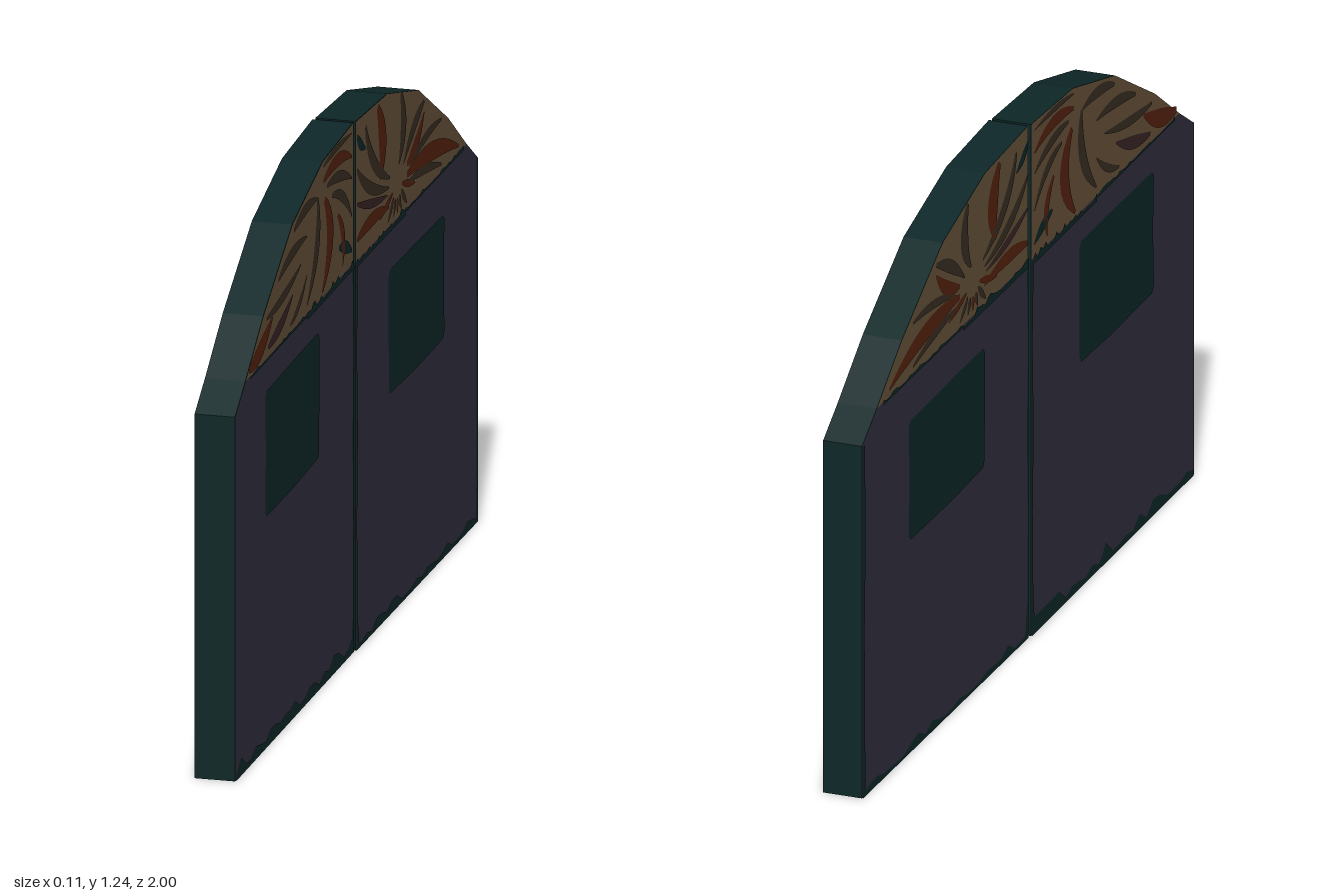
import * as THREE from 'three';

const mat = (name, color, extra = {}) => {
  const m = new THREE.MeshStandardMaterial({ color, ...extra });
  m.name = name;
  return m;
};

export function createModel() {
  const teal = mat('dark teal', 0x0e2728);
  const slate = mat('slate purple', 0x312f3e);
  const tan = mat('tan', 0x68533a);
  const red = mat('rust red', 0x58220f);
  const brown = mat('dark brown', 0x392f24);
  const plum = mat('plum', 0x3a2426);

  const DEPTH = 0.093, STEP = 0.0012, BAND = 0.907;
  let seed = 7;
  const rand = () => (seed = (seed * 16807) % 2147483647) / 2147483647;

  // Arched outline of a leaf, from the middle to the outer edge, as [distance, height]
  const arch = [[0.005, 1.235], [0.262, 1.222], [0.517, 1.153], [0.762, 1.013], [0.912, BAND], [1, 0.85]];
  const outline = [[0.005, 0], ...arch, [1, 0]];
  const panel = [[0.005, 0], [0.005, BAND], [0.912, BAND], [1, 0.85], [1, 0]];
  const band = [...arch.slice(0, 5), [0.005, BAND]];

  // Shape on a face that looks along x (side is 1 or -1)
  const toShape = (pts, side) => new THREE.Shape(pts.map(([z, y]) => new THREE.Vector2(-side * z, y)));

  // Tapered, curved brush stroke
  function stroke([z0, y0], [zc, yc], [z1, y1], width) {
    const curve = new THREE.QuadraticBezierCurve(
      new THREE.Vector2(z0, y0), new THREE.Vector2(zc, yc), new THREE.Vector2(z1, y1));
    const a = [], b = [];
    for (let i = 0; i <= 10; i++) {
      const t = i / 10, p = curve.getPoint(t), d = curve.getTangent(t);
      const w = 0.5 * width * Math.sin(Math.PI * (0.1 + 0.85 * t));
      a.push([p.x - d.y * w, p.y + d.x * w]);
      b.unshift([p.x + d.y * w, p.y - d.x * w]);
    }
    return [...a, ...b];
  }

  // Ragged strip along a level line
  function raggedStrip(from, to, y, height) {
    const pts = [[from, y], [to, y]];
    for (let i = 0; i <= 24; i++) {
      pts.push([to + (from - to) * i / 24, y + height * (0.3 + 0.9 * rand() ** 2)]);
    }
    return pts;
  }

  // Window with slightly uneven corners
  const windowShape = (a, b, lo, hi) => [
    [a + 0.012, lo + 0.004], [a + 0.2, lo - 0.002], [b - 0.012, lo], [b, lo + 0.015], [b - 0.005, (lo + hi) / 2],
    [b, hi - 0.015], [b - 0.012, hi - 0.004], [a + 0.15, hi], [a + 0.012, hi], [a, hi - 0.015], [a + 0.003, lo + 0.02]];

  // Painted strokes of each leaf: colour, start, bend, end, width (distances from the middle)
  const frontStrokes = [
    [red, [0.89, 0.925], [0.79, 0.93], [0.69, 0.99], 0.045],
    [plum, [0.73, 0.93], [0.62, 0.94], [0.52, 0.99], 0.032],
    [brown, [0.74, 1.0], [0.6, 1.0], [0.45, 1.04], 0.024],
    [brown, [0.64, 1.06], [0.53, 1.1], [0.4, 1.09], 0.028],
    [brown, [0.51, 1.135], [0.41, 1.17], [0.31, 1.15], 0.028],
    [brown, [0.31, 1.15], [0.28, 1.03], [0.4, 0.93], 0.04],
    [red, [0.25, 1.13], [0.15, 1.03], [0.27, 0.92], 0.055],
    [red, [0.26, 1.175], [0.13, 1.21], [0.02, 1.16], 0.032],
    [brown, [0.23, 1.155], [0.12, 1.16], [0.02, 1.11], 0.026],
    [brown, [0.19, 1.12], [0.09, 1.11], [0.02, 1.02], 0.026],
    [red, [0.14, 1.06], [0.07, 1.0], [0.1, 0.93], 0.03],
    [teal, [0.13, 0.98], [0.07, 0.97], [0.02, 0.94], 0.03],
    [brown, [0.54, 0.925], [0.46, 0.94], [0.4, 1.0], 0.02],
    [brown, [0.26, 1.21], [0.15, 1.225], [0.02, 1.215], 0.015],
  ];
  const backStrokes = [
    [red, [0.18, 1.215], [0.25, 1.12], [0.2, 1.04], 0.06],
    [red, [0.01, 0.955], [0.12, 0.98], [0.27, 0.955], 0.034],
    [red, [0.42, 0.985], [0.63, 1.0], [0.84, 0.925], 0.045],
    [red, [0.42, 1.01], [0.5, 1.02], [0.56, 1.09], 0.035],
    [brown, [0.37, 1.19], [0.42, 1.1], [0.35, 1.03], 0.045],
    [brown, [0.56, 1.115], [0.47, 1.09], [0.39, 1.02], 0.032],
    [brown, [0.08, 1.2], [0.12, 1.08], [0.28, 1.02], 0.035],
    [brown, [0.01, 1.12], [0.1, 1.03], [0.27, 1.0], 0.03],
    [plum, [0.01, 1.04], [0.12, 1.0], [0.26, 0.985], 0.022],
    [brown, [0.7, 1.03], [0.56, 1.04], [0.44, 0.995], 0.022],
    [teal, [0.01, 1.2], [0.03, 1.17], [0.08, 1.15], 0.025],
    [brown, [0.7, 0.925], [0.55, 0.965], [0.42, 0.965], 0.022],
  ];
  // Fan of short rays low on the back leaf
  for (let i = 0; i < 7; i++) {
    const a = Math.PI * (1.08 + 0.14 * i), c = Math.cos(a), s = Math.sin(a);
    const r = Math.min(0.15, 0.065 / Math.abs(s));
    backStrokes.push([i % 3 ? brown : red, [0.34 + 0.04 * c, 0.985 + 0.03 * s],
      [0.34 + 0.6 * r * c, 0.985 + 0.6 * r * s], [0.34 + r * c, 0.985 + r * s], 0.018]);
  }

  // One door leaf; dir 1 is the front leaf, -1 the back one
  function makeLeaf(name, dir, strokes, win, fringe) {
    const leaf = new THREE.Group();
    leaf.name = name;
    const place = pts => pts.map(([d, y]) => [d * dir, y]);

    const bodyGeo = new THREE.ExtrudeGeometry(toShape(place(outline), 1), { depth: DEPTH, bevelEnabled: false });
    bodyGeo.translate(0, 0, -DEPTH / 2).rotateY(Math.PI / 2);
    const body = new THREE.Mesh(bodyGeo, teal);
    body.name = 'leafBody';
    leaf.add(body);

    for (const side of [1, -1]) {
      const paint = (part, pts, material, layer) => {
        const geo = new THREE.ShapeGeometry(toShape(place(pts), side));
        geo.translate(0, 0, DEPTH / 2 + layer * STEP).rotateY(side * Math.PI / 2);
        const mesh = new THREE.Mesh(geo, material);
        mesh.name = part;
        leaf.add(mesh);
      };
      paint('lowerPanel', panel, slate, 1);
      paint('archBand', band, tan, 1);
      paint('window', windowShape(...win), teal, 2);
      strokes.forEach(([material, a, b, c, w]) => paint('paintStroke', stroke(a, b, c, w), material, 2));
      // Worn edges
      paint('bottomWear', raggedStrip(0.006, 0.995, 0, fringe), teal, 2);
      paint('bandWear', raggedStrip(0.006, 0.4, BAND - 0.012, 0.024), teal, 3);
      paint('bandWear', raggedStrip(0.4, 0.88, BAND - 0.004, 0.01), teal, 3);
      paint('innerEdgeWear', [[0.005, 0], [0.03, 0], [0.014, 0.08], [0.01, 0.3], [0.016, 0.5],
        [0.009, 0.7], [0.016, BAND], [0.005, BAND]], teal, 2);
      if (dir < 0) {
        paint('outerEdgeWear', [[1, 0], [0.985, 0], [0.99, 0.4], [0.984, 0.6], [0.988, 0.85], [1, 0.85]], teal, 2);
      }
    }
    return leaf;
  }

  const model = new THREE.Group();
  model.name = 'archedDoubleDoor';
  const front = makeLeaf('frontLeaf', 1, frontStrokes, [0.295, 0.752, 0.54, 0.836], 0.04);
  front.rotation.y = 0.008; // hangs slightly askew
  front.position.set(-0.006, 0, 0.0);
  const back = makeLeaf('backLeaf', -1, backStrokes, [0.267, 0.725, 0.513, 0.805], 0.025);
  back.position.x = -0.0025;
  model.add(front, back);
  return model;
}
